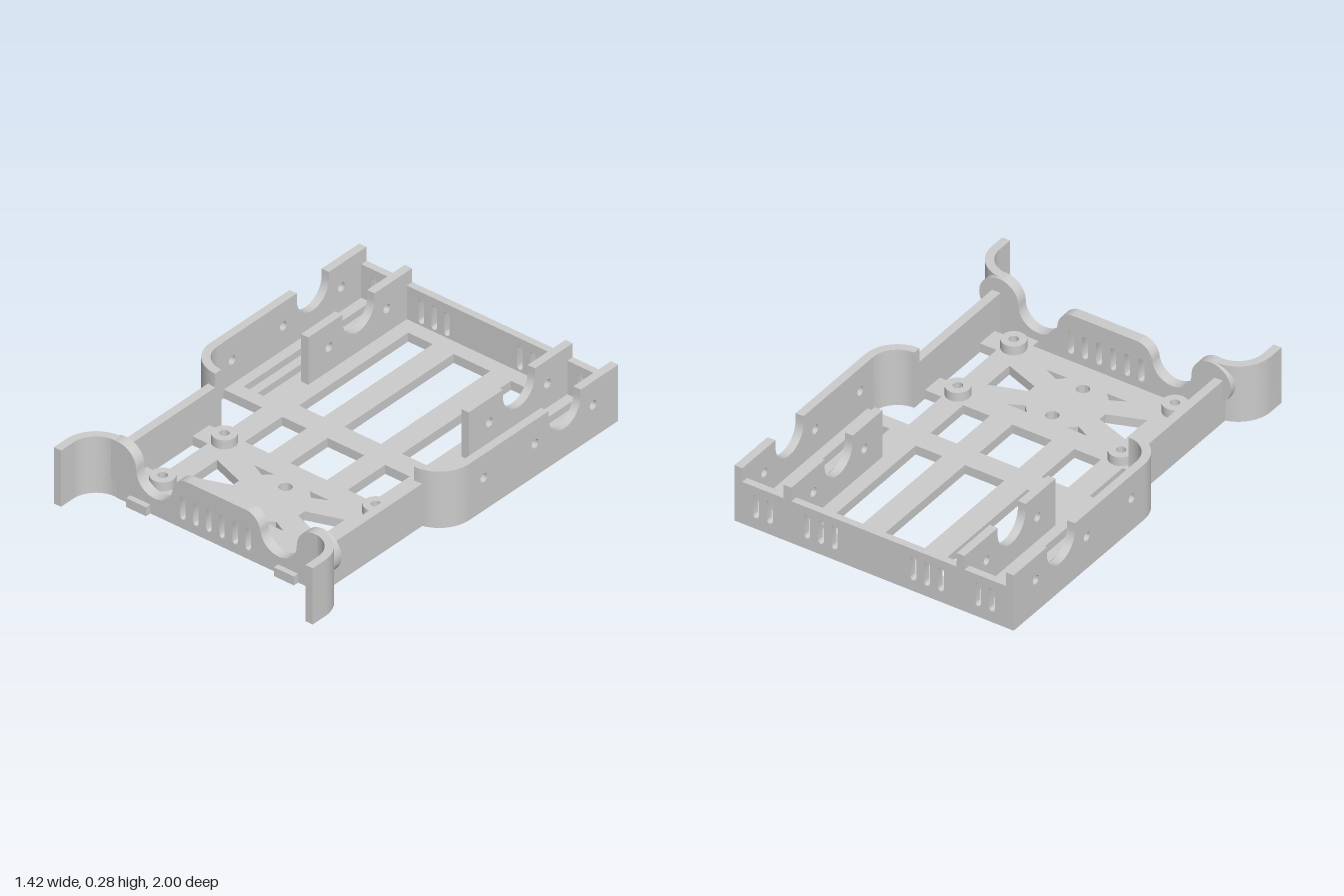
import * as THREE from 'three';
import { toCreasedNormals } from 'three/addons/utils/BufferGeometryUtils.js';

const H = 0.285, LOW = 0.215, FLOOR = 0.045, T = 0.04;
const material = new THREE.MeshStandardMaterial({ color: 0xcccccc });

// Points along an arc
function arc(cx, cy, r, a0, a1, n = 20) {
  return Array.from({ length: n + 1 }, (_, i) => {
    const a = a0 + ((a1 - a0) * i) / n;
    return [cx + r * Math.cos(a), cy + r * Math.sin(a)];
  });
}
const circle = (cx, cy, r) => arc(cx, cy, r, 0, Math.PI * 2, 28).slice(0, -1);
const rect = (x0, x1, y0, y1) => [[x0, y0], [x1, y0], [x1, y1], [x0, y1]];
const slot = (x, y0, y1, r) => [
  ...arc(x, y1 - r, r, 0, Math.PI, 10),
  ...arc(x, y0 + r, r, Math.PI, Math.PI * 2, 10),
];
const flip = (pts, s) => pts.map(([x, y]) => [s * x, y]);
const mirrored = (pts) => [...pts, ...flip(pts, -1).reverse()];
const vectors = (pts) => pts.map(([x, y]) => new THREE.Vector2(x, y));

function extrude(outline, holes, depth) {
  const shape = new THREE.Shape(vectors(outline));
  shape.holes = holes.map((h) => new THREE.Path(vectors(h)));
  const geo = new THREE.ExtrudeGeometry(shape, { depth, bevelEnabled: false });
  return toCreasedNormals(geo, 0.5);
}
// Outline in (x, z), standing from y0 to y1
const plan = (outline, holes, y0, y1) =>
  extrude(outline, holes, y1 - y0).rotateX(Math.PI / 2).translate(0, y1, 0);
// Outline in (z, y), spanning x0 to x1
const side = (outline, holes, x0, x1) =>
  extrude(outline, holes, x1 - x0).rotateY(-Math.PI / 2).translate(x1, 0, 0);
// Outline in (x, y), spanning z0 to z1
const front = (outline, holes, z0, z1) =>
  extrude(outline, holes, z1 - z0).translate(0, 0, z0);

export function createModel() {
  const group = new THREE.Group();
  const add = (name, geo) => {
    const mesh = new THREE.Mesh(geo, material);
    mesh.name = name;
    group.add(mesh);
  };

  // Floor plate with windows, slits, truss cut-outs and screw holes
  const floorOutline = mirrored([
    [0.71, -1], [0.71, -0.065], [0.46, -0.065], [0.46, 0.18], [0.56, 0.18],
    [0.56, 0.29], [0.46, 0.29], [0.46, 0.59], [0.56, 0.59], [0.56, 0.7],
    [0.46, 0.7], [0.46, 0.825], [0.35, 0.825], [0.35, 0.7],
  ]);
  const bosses = [[0.415, 0.235], [0.41, 0.645]];
  const floorHoles = [circle(0, 0.33, 0.03), circle(0, 0.56, 0.03)];
  for (const [z0, z1] of [[-0.89, -0.175], [-0.065, 0.18]]) {
    floorHoles.push(rect(-0.1, 0.1, z0, z1));
    for (const s of [-1, 1]) floorHoles.push(flip(rect(0.215, 0.35, z0, z1), s));
  }
  for (const s of [-1, 1]) {
    floorHoles.push(
      flip(rect(0.51, 0.543, -0.935, -0.135), s),
      flip(rect(0.587, 0.62, -0.935, -0.135), s),
      flip([[0.35, 0.36], [0.18, 0.42], [0.18, 0.462], [0.35, 0.525]], s),
      flip([[0.205, 0.29], [0.1, 0.29], [0.135, 0.325]], s),
      flip([[0.205, 0.59], [0.1, 0.59], [0.135, 0.555]], s),
      ...bosses.map(([x, z]) => circle(s * x, z, 0.022)),
    );
  }
  add('floor', plan(floorOutline, floorHoles, 0, FLOOR));

  // Back wall with ventilation slots
  const backSlots = [0.2, 0.27, 0.34, 0.53, 0.6].flatMap((x) => [x, -x]);
  add('backWall', front(rect(-0.71, 0.71, 0, LOW),
    backSlots.map((x) => slot(x, 0.055, 0.175, 0.015)), -1, -0.965));

  // Upright plate with a round cradle notch, ending at zEnd
  const cradle = (zEnd) => [
    [-1, 0], [zEnd, 0], [zEnd, H], [-0.543, H],
    ...arc(-0.648, 0.25, 0.105, 0, -Math.PI), [-0.753, H], [-1, H],
  ];
  const pinHoles = [-0.835, -0.455, -0.12].map((z) => circle(z, 0.165, 0.022));

  for (const s of [-1, 1]) {
    const name = (part) => (s > 0 ? 'left' : 'right') + part;
    const span = (a, b) => (s > 0 ? [a, b] : [-b, -a]);

    // Outer wall, inner rib and low front side wall
    add(name('OuterWall'), side(cradle(-0.025), pinHoles, ...span(0.71 - T, 0.71)));
    add(name('InnerRib'), side(cradle(-0.32), pinHoles.slice(0, 2), ...span(0.42, 0.46)));
    add(name('SideWall'), side(rect(0.11, 0.785, 0, LOW), [], ...span(0.545, 0.587)));

    // Rounded corner closing the outer wall inward
    add(name('Corner'), plan(flip([
      ...arc(0.545, -0.025, 0.165, 0, Math.PI / 2),
      ...arc(0.545, -0.025, 0.165 - T, Math.PI / 2, 0),
    ], s), [], 0, H));

    // Curled bumper arm at the front
    add(name('FrontArm'), plan(flip([
      ...arc(0.545, 0.92, 0.165, -Math.PI / 2, 0), [0.71, 1], [0.71 - T, 1],
      ...arc(0.545, 0.92, 0.165 - T, 0, -Math.PI / 2),
    ], s), [], 0, H));

    // Screw bosses
    for (const [x, z] of bosses)
      add(name('ScrewBoss'), plan(circle(s * x, z, 0.057), [circle(s * x, z, 0.022)], FLOOR, 0.09));
  }

  // Front wall: round lobes, scooped notches and a slotted hump, slightly off centre
  const off = 0.0125;
  const frontOutline = mirrored([
    [0.555, 0],
    ...arc(0.54, 0.185, 0.1, -1.42, Math.PI, 36),
    ...arc(0.34, 0.185, 0.1, 0, -Math.PI, 28).slice(1),
    ...arc(0.16, 0.165, 0.08, 0, Math.PI / 2),
  ]).map(([x, y]) => [x + off, y]);
  const frontSlots = Array.from({ length: 6 }, (_, i) =>
    slot(-0.172 + i * 0.0715, 0.045, 0.16, 0.015));
  add('frontWall', front(frontOutline, frontSlots, 0.743, 0.797));

  return group;
}
